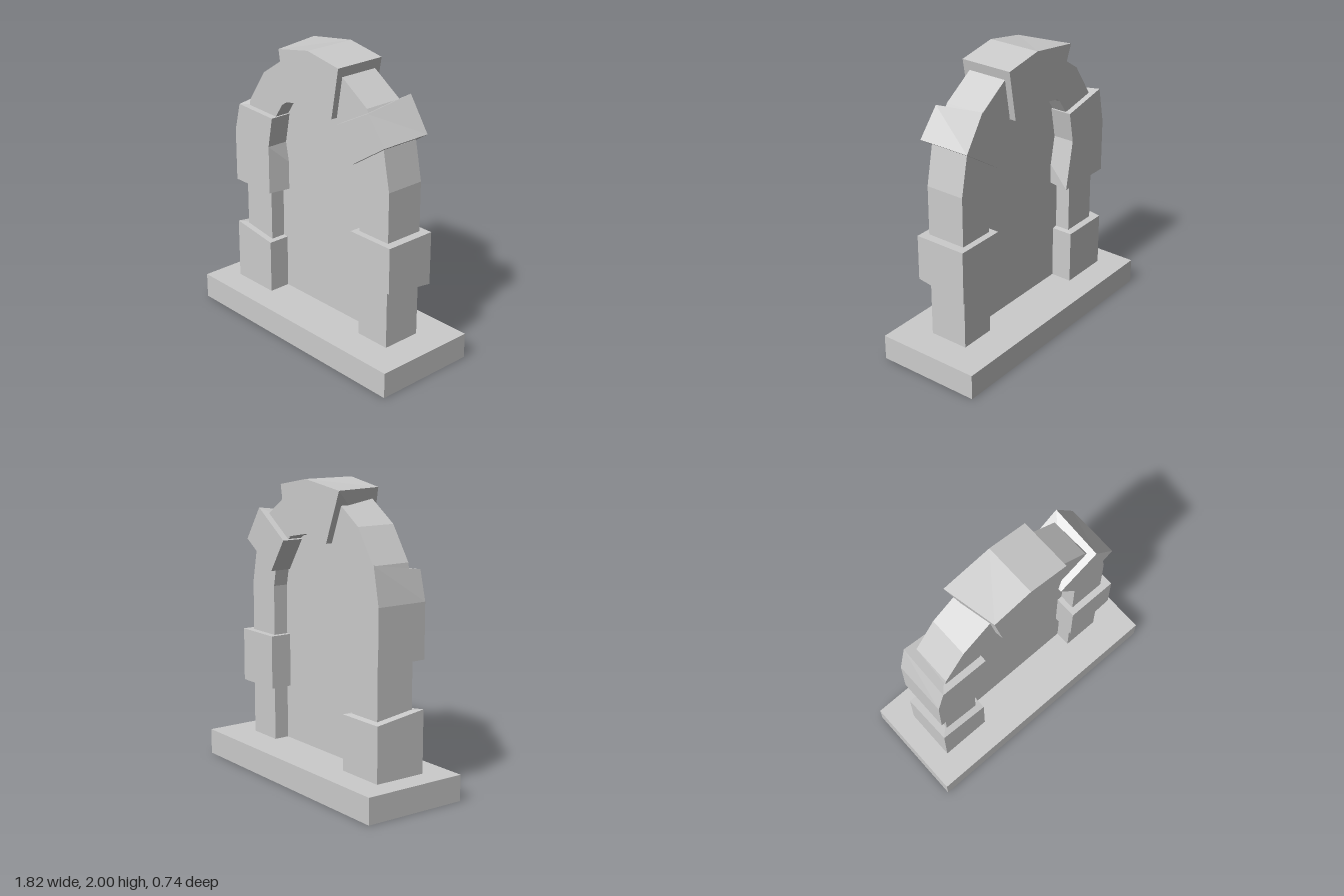
import * as THREE from 'three';

const material = new THREE.MeshStandardMaterial({ color: 0xcccccc, flatShading: true });
const BASE_TOP = 0.175, SPRING = 1.25, STEPS = 8;
const FRONT = 0.187, BACK = -0.18; // depth of the raised stones

function addMesh(group, name, geometry) {
  const mesh = new THREE.Mesh(geometry, material);
  mesh.name = name;
  group.add(mesh);
  return mesh;
}

// Faceted round-topped outline, counter-clockwise from the lower right
function archPoints(radius) {
  const points = [new THREE.Vector2(radius, BASE_TOP)];
  for (let i = 0; i <= STEPS; i++) {
    const a = (i / STEPS) * Math.PI;
    points.push(new THREE.Vector2(radius * Math.cos(a), SPRING + radius * Math.sin(a)));
  }
  points.push(new THREE.Vector2(-radius, BASE_TOP));
  return points;
}

function extrude(shape, zBack, zFront) {
  const geometry = new THREE.ExtrudeGeometry(shape, { depth: zFront - zBack, bevelEnabled: false });
  return geometry.translate(0, 0, zBack);
}

// Stone spanning a front outline and a back outline (both counter-clockwise)
function stoneGeometry(front, back = front) {
  const positions = [];
  const f = i => positions.push(...front[i], FRONT);
  const b = i => positions.push(...back[i], BACK);
  const faces = outline => THREE.ShapeUtils.triangulateShape(
    outline.map(([x, y]) => new THREE.Vector2(x, y)), []);
  for (const [i, j, k] of faces(front)) { f(i); f(j); f(k); }
  for (const [i, j, k] of faces(back)) { b(i); b(k); b(j); }
  for (let i = 0; i < front.length; i++) {
    const j = (i + 1) % front.length;
    f(i); b(i); f(j);
    f(j); b(i); b(j);
  }
  const geometry = new THREE.BufferGeometry();
  geometry.setAttribute('position', new THREE.Float32BufferAttribute(positions, 3));
  geometry.computeVertexNormals();
  return geometry;
}

export function createModel() {
  const model = new THREE.Group();
  model.name = 'archedStone';

  // Plinth
  addMesh(model, 'base', new THREE.BoxGeometry(1.815, BASE_TOP, 0.735))
    .position.y = BASE_TOP / 2;

  // Arched frame: a band between two faceted arches
  const band = new THREE.Shape([...archPoints(0.69), ...archPoints(0.435).reverse()]);
  addMesh(model, 'archFrame', extrude(band, -0.135, 0.142));

  // Thin slab filling the opening
  addMesh(model, 'panel', extrude(new THREE.Shape(archPoints(0.437)), -0.03, 0.035));

  // Keystone, its right side cut at a slant
  const keystone = leftX => [
    [leftX, 1.95], [-0.22, 1.61], [0, 1.65], [0.22, 1.61], [0.28, 1.95], [0, 2],
  ];
  addMesh(model, 'keystone', stoneGeometry(keystone(-0.28), keystone(-0.355)));

  // Stone on the left shoulder
  const shoulder = topY => [[0.255, 1.58], [0.4, 1.36], [0.69, 1.55], [0.54, topY]];
  addMesh(model, 'leftShoulderStone', stoneGeometry(shoulder(1.73), shoulder(1.775)));

  // Stone at the right springing of the arch
  const springer = (innerX, topY) => [
    [-0.75, 0.915], [innerX, 0.915], [-0.4, 1.25], [-0.36, 1.46], [-0.7, topY], [-0.75, 1.28],
  ];
  addMesh(model, 'rightSpringStone', stoneGeometry(springer(-0.4, 1.475), springer(-0.335, 1.53)));

  // Stone halfway up the left pillar
  const middle = outerY => [[0.4, 0.548], [0.75, outerY], [0.75, 0.912], [0.4, 0.912]];
  addMesh(model, 'leftPillarStone', stoneGeometry(middle(0.6), middle(0.546)));

  // Stone at the foot of the right pillar
  const foot = outerY => [[-0.75, BASE_TOP], [-0.4, BASE_TOP], [-0.4, 0.546], [-0.75, outerY]];
  addMesh(model, 'rightFootStone', stoneGeometry(foot(0.596), foot(0.546)));

  return model;
}
